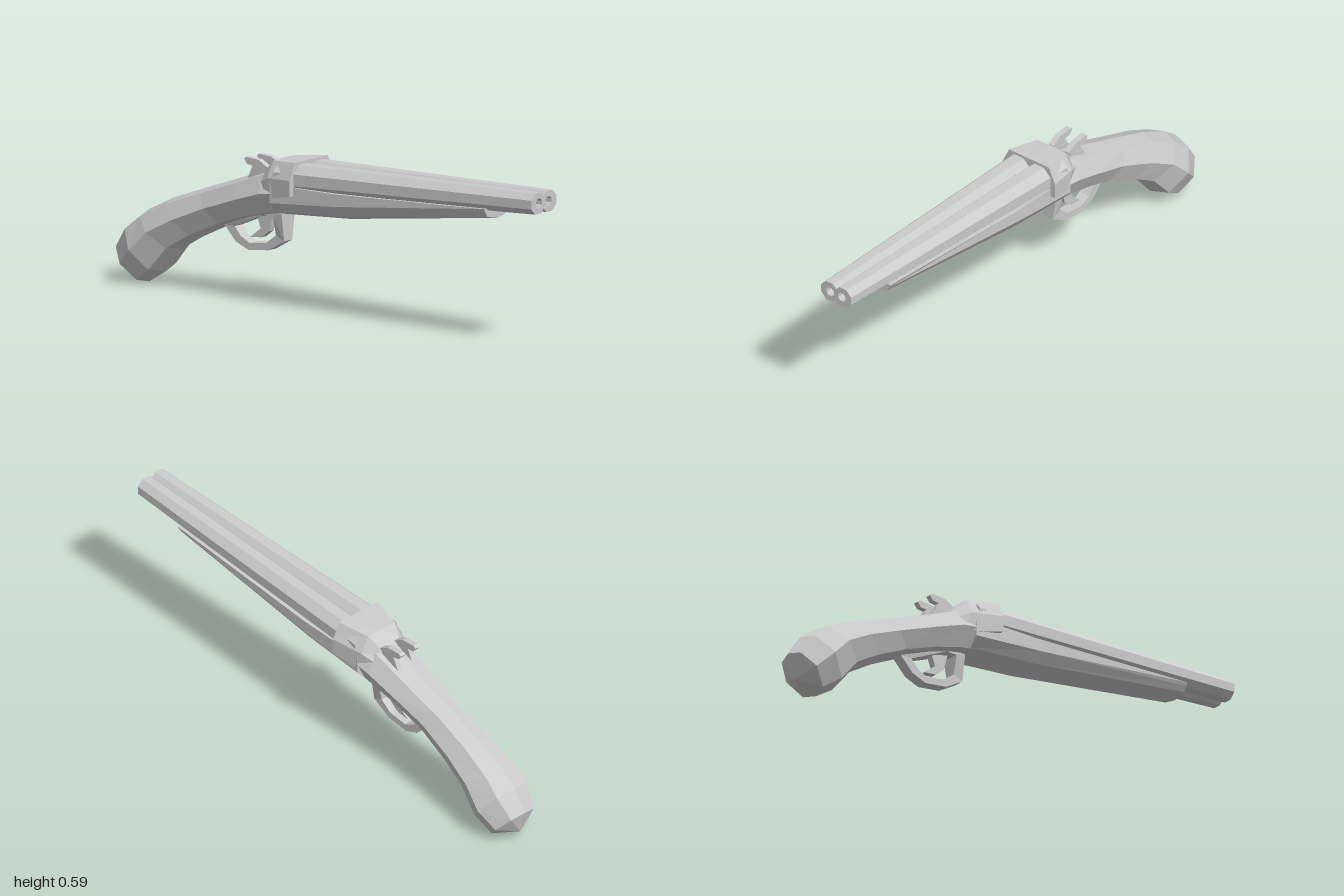
import * as THREE from 'three';

const material = new THREE.MeshStandardMaterial({ color: 0xcccccc, flatShading: true, side: THREE.DoubleSide });

function addMesh(parent, name, geometry) {
  const mesh = new THREE.Mesh(geometry, material);
  mesh.name = name;
  parent.add(mesh);
  return mesh;
}

// Skin a row of equal-length rings and close both ends with a fan
function loft(rings, startTip, endTip) {
  const out = [];
  const n = rings[0].length;
  const centre = (ring) => [0, 1, 2].map((k) => ring.reduce((s, p) => s + p[k], 0) / n);
  const first = rings[0], last = rings[rings.length - 1];
  const a = startTip || centre(first), b = endTip || centre(last);
  for (let j = 0; j < n; j++) {
    const k = (j + 1) % n;
    for (let i = 0; i < rings.length - 1; i++) {
      const r = rings[i], s = rings[i + 1];
      out.push(r[j], r[k], s[j], r[k], s[k], s[j]);
    }
    out.push(a, first[k], first[j], b, last[j], last[k]);
  }
  const geometry = new THREE.BufferGeometry();
  geometry.setAttribute('position', new THREE.Float32BufferAttribute(out.flat(), 3));
  geometry.computeVertexNormals();
  return geometry;
}

// Complete a half section (top centre to bottom centre, on +z) by mirroring it
function mirrored(half) {
  const other = half.slice(1, -1).reverse().map(([x, y, z]) => [x, y, -z]);
  return [...half, ...other];
}

// Flat side outline given a thickness, centred on z = 0
function plate(points, depth, hole) {
  const shape = new THREE.Shape(points.map(([x, y]) => new THREE.Vector2(x, y)));
  if (hole) shape.holes.push(new THREE.Path(hole.map(([x, y]) => new THREE.Vector2(x, y))));
  return new THREE.ExtrudeGeometry(shape, { depth, bevelEnabled: false }).translate(0, 0, -depth / 2);
}

export function createModel() {
  const model = new THREE.Group();
  model.name = 'doubleBarrel';

  // Curved grip and receiver: top x, top y, bottom x, bottom y, half width
  const stockSections = [
    [-1.0, 0.14, -0.875, 0.004, 0.09],
    [-0.945, 0.22, -0.8, 0.05, 0.118],
    [-0.88, 0.27, -0.72, 0.145, 0.108],
    [-0.76, 0.33, -0.62, 0.205, 0.096],
    [-0.6, 0.39, -0.49, 0.267, 0.086],
    [-0.42, 0.455, -0.365, 0.31, 0.097],
    [-0.28, 0.51, -0.26, 0.335, 0.105],
    [-0.2, 0.52, -0.2, 0.345, 0.105],
  ];
  const stockProfile = [[0, 0], [0.62, 0.1], [1, 0.48], [0.65, 0.9], [0, 1]];
  addMesh(model, 'stock', loft(
    stockSections.map(([tx, ty, bx, by, w]) => mirrored(
      stockProfile.map(([side, t]) => [tx + (bx - tx) * t, ty + (by - ty) * t, side * w]))),
    [-0.975, 0.045, 0]));

  // Breech shroud flaring out around the barrels
  const breech = [
    [[-0.3, 0.495, 0], [-0.3, 0.49, 0.035], [-0.3, 0.455, 0.07], [-0.27, 0.42, 0.09], [-0.27, 0.42, 0]],
    [[-0.23, 0.553, 0], [-0.23, 0.55, 0.065], [-0.23, 0.49, 0.1], [-0.2, 0.42, 0.105], [-0.2, 0.42, 0]],
    [[-0.105, 0.562, 0], [-0.105, 0.562, 0.093], [-0.105, 0.5, 0.123], [-0.105, 0.44, 0.123], [-0.105, 0.44, 0]],
  ];
  addMesh(model, 'breech', loft(breech.map(mirrored)));

  // Tapered fore-end beneath the barrels
  const foreEnd = [
    [[-0.215, 0.46, 0], [-0.215, 0.47, 0.104], [-0.215, 0.4, 0.105], [-0.215, 0.362, 0.072], [-0.215, 0.343, 0]],
    [[0.08, 0.47, 0], [0.08, 0.472, 0.098], [0.08, 0.425, 0.098], [0.08, 0.385, 0.068], [0.08, 0.365, 0]],
    [[0.78, 0.503, 0], [0.78, 0.508, 0.076], [0.78, 0.495, 0.069], [0.78, 0.476, 0.056], [0.78, 0.464, 0]],
  ];
  addMesh(model, 'foreEnd', loft(foreEnd.map(mirrored)));

  // Octagonal barrels with hollow muzzles
  const octagon = (x, y, z, flat) => Array.from({ length: 8 }, (_, i) => {
    const angle = (i + 0.5) * Math.PI / 4;
    const r = flat / Math.cos(Math.PI / 8);
    return [x, y + r * Math.cos(angle), z + r * Math.sin(angle)];
  });
  for (const side of [1, -1]) {
    addMesh(model, side > 0 ? 'leftBarrel' : 'rightBarrel', loft([
      octagon(-0.2, 0.494, side * 0.049, 0.054),
      octagon(1, 0.552, side * 0.031, 0.039),
      octagon(1, 0.552, side * 0.027, 0.017),
      octagon(0.9, 0.547, side * 0.027, 0.017),
    ]));
  }

  // Trigger guard, widened where it meets the receiver
  const guard = plate(
    [[-0.5, 0.27], [-0.445, 0.213], [-0.385, 0.19], [-0.29, 0.202], [-0.215, 0.245], [-0.215, 0.348], [-0.3, 0.348]],
    0.044,
    [[-0.45, 0.27], [-0.422, 0.237], [-0.38, 0.217], [-0.3, 0.228], [-0.255, 0.262], [-0.255, 0.335], [-0.3, 0.335]]);
  const position = guard.attributes.position;
  for (let i = 0; i < position.count; i++) {
    if (position.getY(i) > 0.33) position.setZ(i, position.getZ(i) * 1.7);
  }
  guard.computeVertexNormals();
  addMesh(model, 'triggerGuard', guard);

  // Curved trigger
  addMesh(model, 'trigger', plate(
    [[-0.355, 0.33], [-0.335, 0.275], [-0.385, 0.237], [-0.33, 0.243], [-0.295, 0.27], [-0.275, 0.34]], 0.026));

  // Pair of hooked hammers
  for (const side of [1, -1]) {
    addMesh(model, side > 0 ? 'leftHammer' : 'rightHammer', plate(
      [[-0.385, 0.533], [-0.37, 0.515], [-0.345, 0.512], [-0.355, 0.49], [-0.37, 0.46],
        [-0.28, 0.46], [-0.285, 0.5], [-0.275, 0.515], [-0.315, 0.537], [-0.375, 0.541]],
      0.022)).position.z = side * 0.036;
  }

  return model;
}
